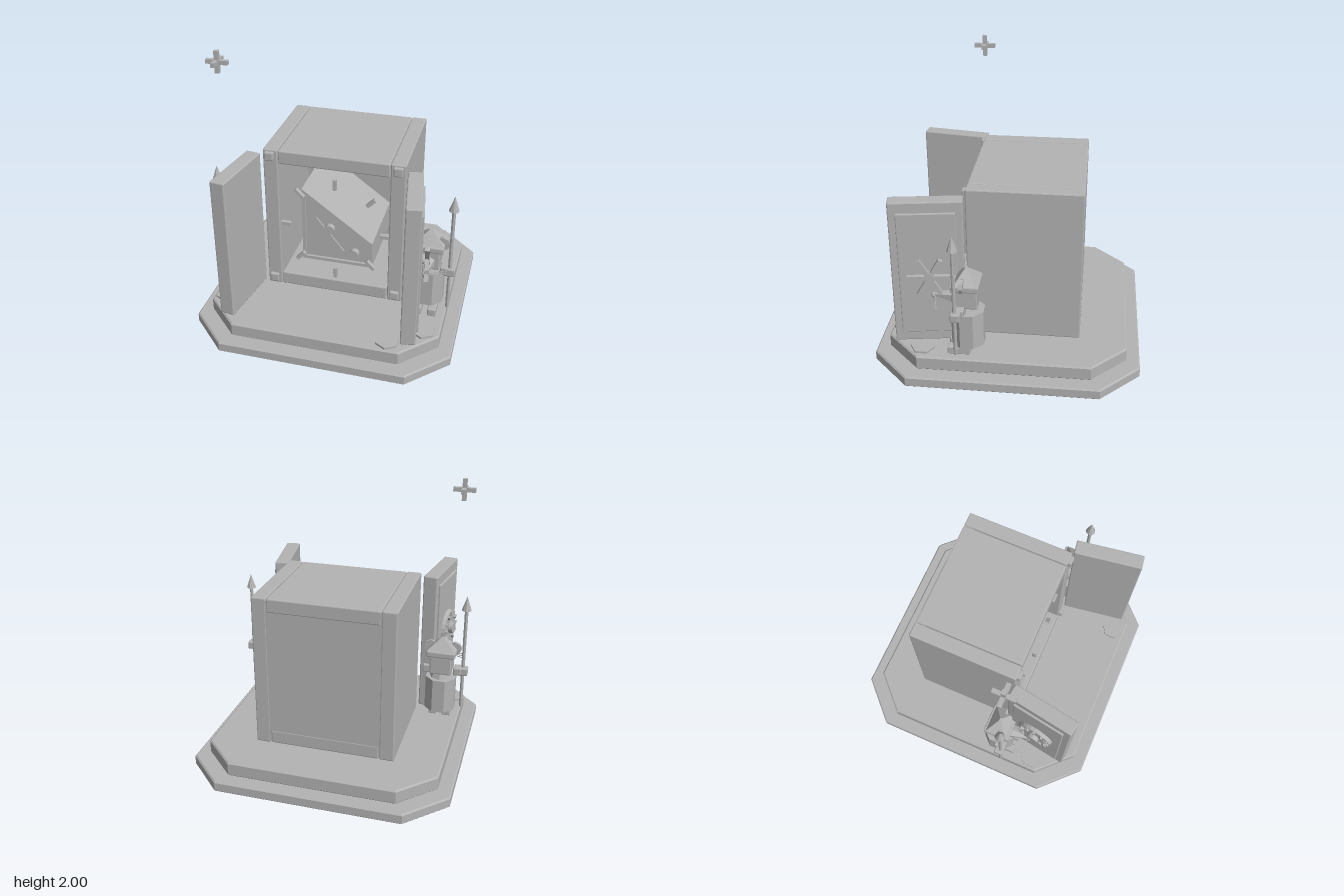
import * as THREE from 'three';
import { RoundedBoxGeometry } from 'three/addons/geometries/RoundedBoxGeometry.js';

const stone = new THREE.MeshStandardMaterial({ color: 0xb3b3b3 });
stone.name = 'plain grey';

// Faceted normals for every part
function flat(geo) {
  const g = geo.index ? geo.toNonIndexed() : geo;
  g.computeVertexNormals();
  return g;
}

function add(parent, name, geo, x = 0, y = 0, z = 0) {
  const mesh = new THREE.Mesh(flat(geo), stone);
  mesh.name = name;
  mesh.position.set(x, y, z);
  parent.add(mesh);
  return mesh;
}

const box = (w, h, d) => new THREE.BoxGeometry(w, h, d);
const softBox = (w, h, d, r = 0.008) => new RoundedBoxGeometry(w, h, d, 1, r);
const cyl = (r1, r2, h, n) => new THREE.CylinderGeometry(r1, r2, h, n);
const shapeOf = (pts) => new THREE.Shape(pts.map(([x, y]) => new THREE.Vector2(x, y)));
const extrude = (shape, depth) => new THREE.ExtrudeGeometry(shape, { depth, bevelEnabled: false });

// Square slab with cut corners and a small bevel, standing on y = 0
function slab(r, c, h, b = 0.01) {
  const s = shapeOf([[c, -r], [r, -c], [r, c], [c, r], [-c, r], [-r, c], [-r, -c], [-c, -r]]);
  return new THREE.ExtrudeGeometry(s, {
    depth: h - 2 * b, bevelThickness: b, bevelSize: b, bevelOffset: -b, bevelSegments: 1,
  }).translate(0, 0, b).rotateX(-Math.PI / 2);
}

function createVault() {
  const vault = new THREE.Group();
  vault.name = 'vault';
  for (const s of [-1, 1]) {
    add(vault, 'sideWall', softBox(0.105, 1.115, 0.79), s * 0.4525, 0.7425, -0.11);
    for (const y of [0.24, 1.255]) add(vault, 'cornerBolt', softBox(0.065, 0.065, 0.05), s * 0.455, y, 0.285);
  }
  add(vault, 'roof', softBox(0.79, 0.1, 0.79), 0, 1.248, -0.11);
  add(vault, 'floor', softBox(0.79, 0.1, 0.79), 0, 0.237, -0.11);
  add(vault, 'backWall', box(0.81, 1.09, 0.08), 0, 0.742, -0.463);

  // Sloped block with a raised rim
  const outer = [[-0.262, 0.376], [0.262, 0.376], [0.262, 0.58], [-0.262, 0.965]];
  const inner = [[-0.238, 0.4], [0.238, 0.4], [0.238, 0.568], [-0.238, 0.917]];
  add(vault, 'slopedBlock', extrude(shapeOf(outer), 0.6), 0, 0, -0.43);
  const rim = shapeOf(outer);
  rim.holes.push(shapeOf(inner));
  add(vault, 'blockRim', extrude(rim, 0.02), 0, 0, 0.17);
  add(vault, 'trianglePlate', extrude(shapeOf([[-0.16, 0.48], [0.05, 0.48], [-0.16, 0.74]]), 0.012), 0, 0, 0.17);
  for (const [x, y] of [[-0.055, 0.662], [0.13, 0.478]]) {
    add(vault, 'knob', cyl(0.035, 0.035, 0.04, 16).rotateX(Math.PI / 2), x, y, 0.19);
  }

  // Ring of marks in the opening
  for (let i = 0; i < 8; i++) {
    const a = i * Math.PI / 4;
    const m = add(vault, 'ringMark', box(0.025, 0.08, 0.03), Math.sin(a) * 0.37, 0.695 + Math.cos(a) * 0.37, 0.24);
    m.rotation.z = -a;
  }
  return vault;
}

function createDoor(s) {
  const door = new THREE.Group();
  door.name = s > 0 ? 'leftDoor' : 'rightDoor';
  door.position.set(s * 0.609, 0.742, 0.5275);
  door.rotation.y = s * 0.155;
  add(door, 'doorSlab', softBox(0.105, 1.06, 0.49));
  add(door, 'doorPanel', softBox(0.03, 0.91, 0.39, 0.006), s * 0.052, 0, 0);
  if (s > 0) {
    // Spoked handwheel
    add(door, 'wheelHub', cyl(0.035, 0.035, 0.06, 12).rotateZ(Math.PI / 2), 0.09, 0, -0.01);
    for (let i = 0; i < 3; i++) {
      const bar = add(door, 'wheelSpoke', box(0.03, 0.3, 0.03), 0.1, 0, -0.01);
      bar.rotation.x = Math.PI / 2 + i * Math.PI / 3;
    }
  } else {
    // Combination dial with studs
    add(door, 'dial', cyl(0.13, 0.14, 0.03, 24).rotateZ(Math.PI / 2), -0.078, 0.055, 0);
    add(door, 'dialKnob', cyl(0.045, 0.045, 0.05, 16).rotateZ(Math.PI / 2), -0.1, 0.055, 0);
    for (let i = 0; i < 12; i++) {
      const a = i * Math.PI / 6;
      const stud = add(door, 'dialStud', box(0.02, 0.03, 0.018),
        -0.098, 0.055 + Math.cos(a) * 0.11, Math.sin(a) * 0.11);
      stud.rotation.x = a;
    }
  }
  return door;
}

function createGuard(s) {
  const guard = new THREE.Group();
  guard.name = s > 0 ? 'leftGuard' : 'rightGuard';
  guard.position.set(s * 0.692, 0, 0.25);
  add(guard, 'body', cyl(0.118, 0.118, 0.26, 8).rotateY(Math.PI / 8), 0, 0.382, 0);
  add(guard, 'neck', cyl(0.07, 0.09, 0.05, 8), 0, 0.53, 0);
  add(guard, 'head', softBox(0.16, 0.16, 0.165), 0, 0.63, 0.008);
  add(guard, 'helmetBrim', softBox(0.21, 0.045, 0.19), 0, 0.712, 0.008);
  const peak = new THREE.CylinderGeometry(0.015, 0.137, 0.09, 4).rotateY(Math.PI / 4).scale(1.08, 1, 0.8);
  add(guard, 'helmetPeak', peak, 0, 0.778, 0.005);
  // Snout with nose, teeth and whiskers
  add(guard, 'snout', cyl(0.012, 0.055, 0.14, 6).rotateX(Math.PI / 2), 0, 0.605, 0.155);
  add(guard, 'nose', new THREE.SphereGeometry(0.018, 8, 6), 0, 0.6, 0.23);
  add(guard, 'teeth', box(0.022, 0.03, 0.01), 0, 0.57, 0.2);
  for (const k of [-1, 1]) {
    for (let i = -1; i <= 1; i++) {
      const w = add(guard, 'whisker', box(0.13, 0.005, 0.005), k * 0.08, 0.6 + i * 0.012, 0.205);
      w.rotation.set(0, k * 0.25, k * i * 0.13);
    }
    add(guard, 'ear', cyl(0.05, 0.05, 0.025, 8).rotateX(Math.PI / 2), k * 0.09, 0.735, 0.025);
    add(guard, 'foot', softBox(0.06, 0.06, 0.16), k * 0.052, 0.21, 0.06);
    add(guard, 'arm', softBox(0.06, 0.06, 0.08), k * 0.115, 0.545, 0.05);
  }
  // Spear and the hand on it
  add(guard, 'hand', softBox(0.075, 0.06, 0.065), s * 0.152, 0.54, 0.06);
  add(guard, 'spearShaft', cyl(0.013, 0.013, 0.8, 8), s * 0.152, 0.635, 0.067);
  add(guard, 'spearHead', new THREE.ConeGeometry(0.036, 0.11, 8), s * 0.152, 1.085, 0.067);
  return guard;
}

export function createModel() {
  const model = new THREE.Group();
  model.name = 'guardedVault';
  add(model, 'lowerStep', slab(0.93, 0.66, 0.08));
  add(model, 'upperStep', slab(0.835, 0.595, 0.105), 0, 0.08, 0);
  model.add(createVault());
  for (const s of [-1, 1]) model.add(createDoor(s), createGuard(s));

  // Flat six-sided tokens on the step
  for (const [x, z] of [[0.5, 0.74], [0.72, 0.57], [-0.74, 0.53]]) {
    add(model, 'token', cyl(0.085, 0.085, 0.018, 6), x, 0.191, z);
  }

  // Hovering star of three crossed bars
  const star = new THREE.Group();
  star.name = 'star';
  star.position.set(-0.775, 1.922, 0.32);
  for (const [w, h, d] of [[0.155, 0.03, 0.03], [0.03, 0.155, 0.03], [0.03, 0.03, 0.155]]) {
    add(star, 'starBar', box(w, h, d));
  }
  model.add(star);
  return model;
}
